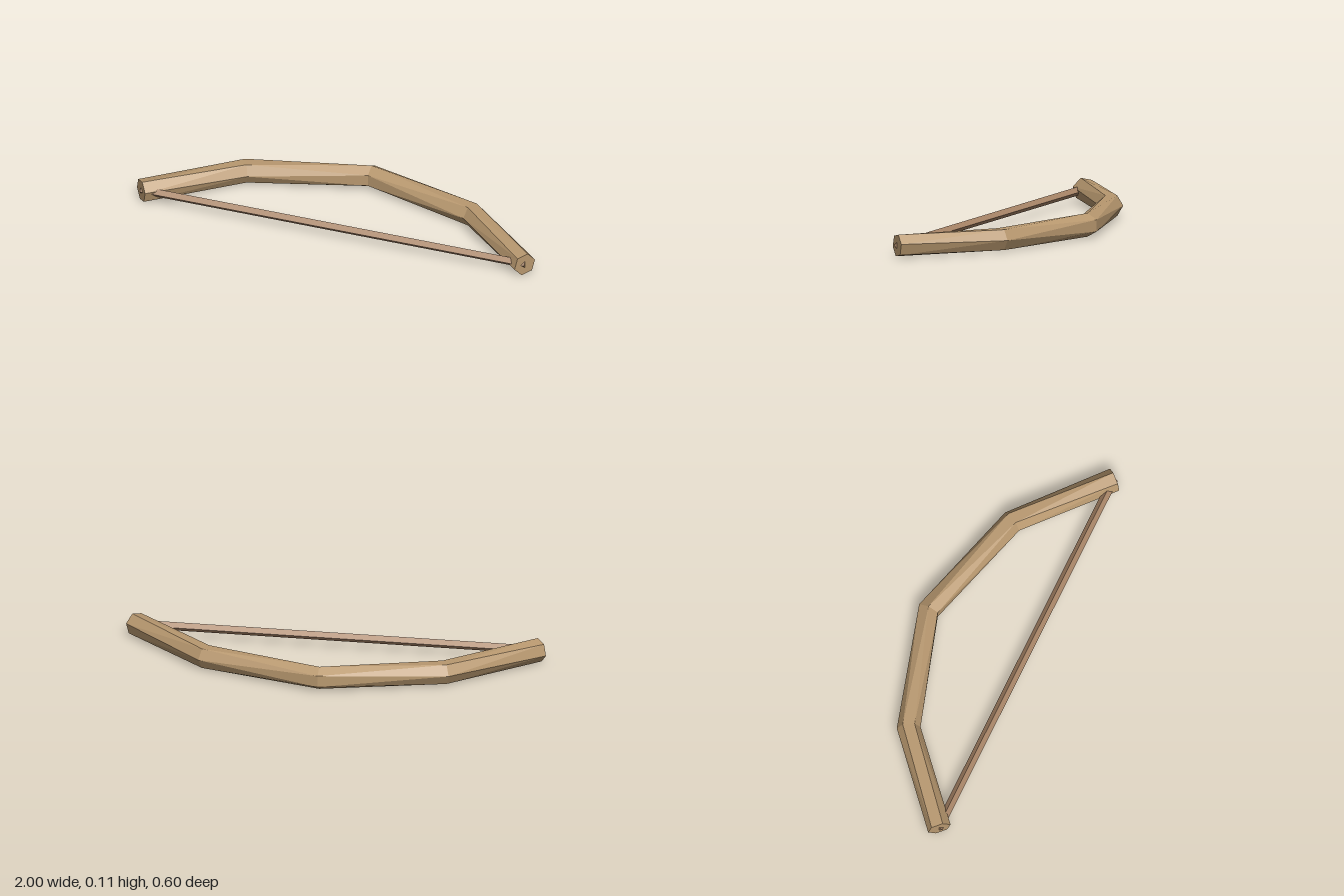
import * as THREE from 'three';

const SIDES = 6;
const RADIUS = 0.056;
const MID_Y = 0.058;

// Stations along the bow: x, z and roll of the hexagon in degrees
const STATIONS = [
  [-0.965, 0.259, 43],
  [-0.57, -0.087, 30],
  [0, -0.253, 0],
  [0.57, -0.087, -30],
  [0.965, 0.259, -43],
];

// Hexagonal ring set square to the path, mitred at the bends
function ring(i) {
  const dir = (a, b) => new THREE.Vector2(STATIONS[b][0] - STATIONS[a][0], STATIONS[b][1] - STATIONS[a][1]).normalize();
  const last = STATIONS.length - 1;
  const t = new THREE.Vector2();
  if (i > 0) t.add(dir(i - 1, i));
  if (i < last) t.add(dir(i, i + 1));
  t.normalize();
  const [x, z, roll] = STATIONS[i];
  return Array.from({ length: SIDES }, (_, k) => {
    const a = THREE.MathUtils.degToRad(roll + (k * 360) / SIDES);
    const out = RADIUS * Math.sin(a);
    return new THREE.Vector3(x + t.y * out, MID_Y + RADIUS * Math.cos(a), z - t.x * out);
  });
}

// Twisted hexagonal bar through all stations, closed at both ends
function bowGeometry() {
  const rings = STATIONS.map((_, i) => ring(i));
  const points = [];
  for (let i = 0; i < rings.length - 1; i++) {
    for (let k = 0; k < SIDES; k++) {
      const n = (k + 1) % SIDES;
      const [a, b] = [rings[i], rings[i + 1]];
      points.push(a[k], b[k], b[n], a[k], b[n], a[n]);
    }
  }
  const first = rings[0];
  const end = rings[rings.length - 1];
  for (let k = 1; k < SIDES - 1; k++) {
    points.push(first[0], first[k], first[k + 1]);
    points.push(end[0], end[k + 1], end[k]);
  }
  const geometry = new THREE.BufferGeometry().setFromPoints(points);
  geometry.computeVertexNormals();
  return geometry;
}

export function createModel() {
  const group = new THREE.Group();
  group.name = 'bow';

  const wood = new THREE.MeshStandardMaterial({ color: 0xb8986f, flatShading: true });
  wood.name = 'wood';
  const cord = new THREE.MeshStandardMaterial({ color: 0xa98567, flatShading: true });
  cord.name = 'cord';

  // Curved wooden limb
  const limb = new THREE.Mesh(bowGeometry(), wood);
  limb.name = 'limb';
  group.add(limb);

  // Four-sided string, its tips just showing through the limb ends
  const string = new THREE.Mesh(new THREE.CylinderGeometry(0.021, 0.021, 1.932, 4), cord);
  string.name = 'string';
  string.rotation.z = Math.PI / 2;
  string.position.set(0, MID_Y, 0.254);
  group.add(string);

  return group;
}
